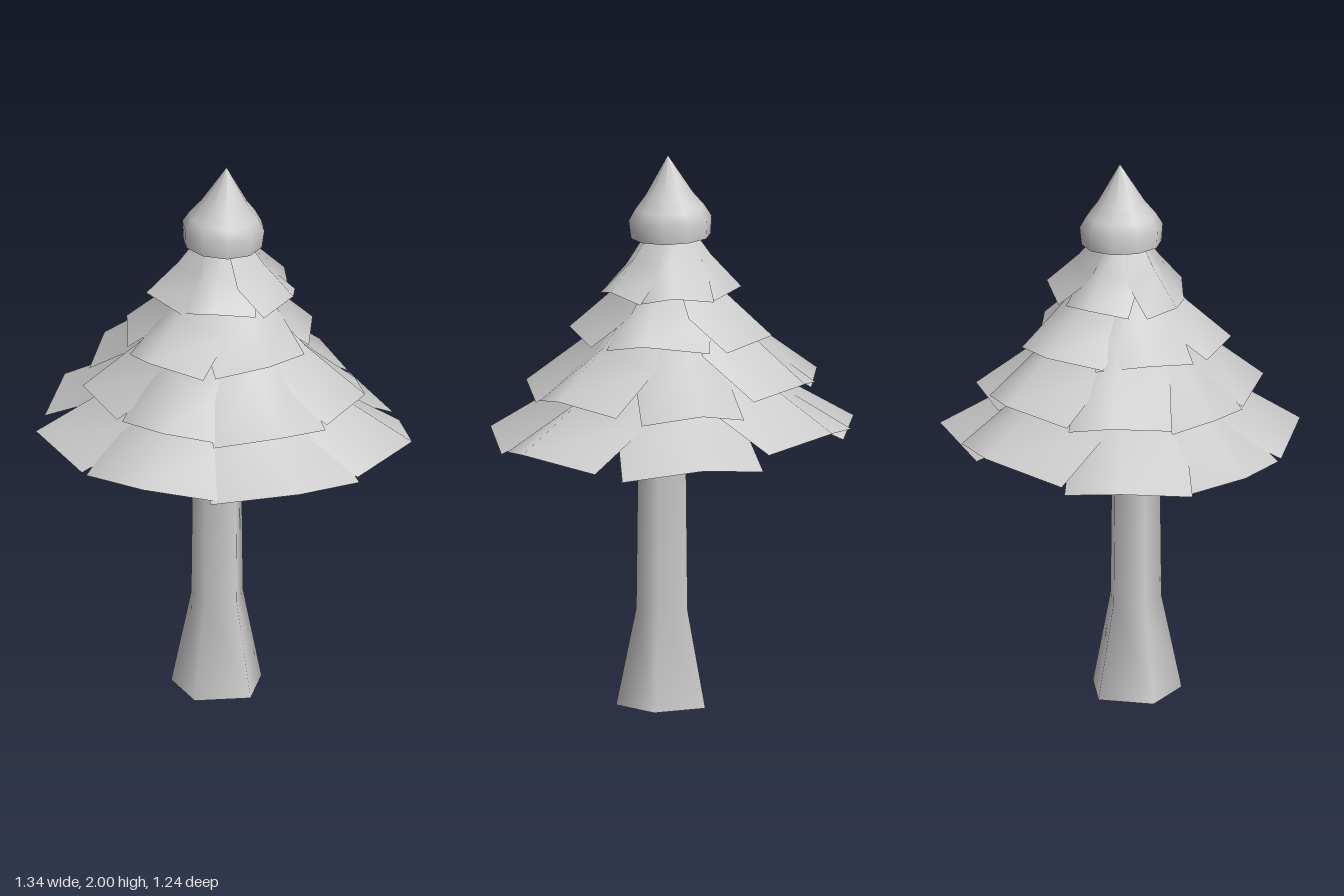
import * as THREE from 'three';

const material = new THREE.MeshStandardMaterial({ color: 0xcccccc, side: THREE.DoubleSide });

// Each bough plate: outer corners (x, z) of side, middle, side, then its lift
const lowestRing = [
  [-0.49, -0.44, -0.23, -0.62, 0.05, -0.59, 0.05],
  [0.03, -0.54, 0.33, -0.55, 0.53, -0.34, -0.02],
  [0.57, -0.24, 0.67, 0.03, 0.52, 0.27, 0],
  [0.53, 0.29, 0.36, 0.53, 0.05, 0.58, -0.01],
  [0.07, 0.57, -0.19, 0.62, -0.43, 0.44, 0],
  [-0.45, 0.42, -0.66, 0.2, -0.62, 0.0, 0],
  [-0.67, -0.01, -0.65, -0.28, -0.47, -0.42, 0.01],
];
const lowerRing = [
  [-0.38, -0.37, -0.19, -0.52, 0.03, -0.49, 0.05],
  [0.04, -0.45, 0.24, -0.45, 0.38, -0.28, -0.02],
  [0.42, -0.19, 0.5, 0.03, 0.4, 0.23, 0],
  [0.4, 0.25, 0.27, 0.44, 0.04, 0.48, -0.01],
  [0.06, 0.46, -0.14, 0.5, -0.32, 0.34, 0],
  [-0.34, 0.33, -0.5, 0.15, -0.47, 0.0, 0],
  [-0.51, -0.02, -0.5, -0.25, -0.37, -0.36, 0.03],
];
const upperRing = [
  [-0.29, -0.19, -0.18, -0.36, 0.04, -0.36, 0.01],
  [0.06, -0.29, 0.27, -0.17, 0.29, 0.0, 0],
  [0.29, 0.08, 0.2, 0.29, 0.02, 0.35, 0],
  [-0.02, 0.37, -0.22, 0.34, -0.32, 0.2, 0],
  [-0.34, 0.14, -0.38, -0.05, -0.27, -0.21, 0],
];
const topRing = [
  [-0.24, -0.07, -0.18, -0.2, -0.03, -0.22, 0],
  [-0.01, -0.24, 0.16, -0.21, 0.2, -0.09, 0],
  [0.22, -0.1, 0.24, 0.03, 0.16, 0.17, 0],
  [0.13, 0.17, -0.01, 0.24, -0.14, 0.19, 0],
  [-0.13, 0.2, -0.28, 0.1, -0.27, -0.01, 0],
];

const tiers = [
  { name: 'lowestBoughs', ring: lowestRing, low: 1.0, high: 1.4, drop: 0.045 },
  { name: 'lowerBoughs', ring: lowerRing, low: 1.17, high: 1.57, drop: 0.04 },
  { name: 'upperBoughs', ring: upperRing, low: 1.365, high: 1.68, drop: 0.035 },
  { name: 'topBoughs', ring: topRing, low: 1.53, high: 1.8, drop: 0.03 },
];

// Plate rows from rim to root: reach from the axis, width, rise, side droop
const rows = [[1, 1, 0, 1], [0.58, 0.88, 0.42, 1.7], [0.14, 0.3, 1, 1]];

function boughPlate([ax, az, mx, mz, bx, bz, lift], { low, high, drop }) {
  const cx = -0.02, cz = 0.01;
  const offsets = [[ax - mx, az - mz], [0, 0], [bx - mx, bz - mz]];
  const positions = [], index = [];
  rows.forEach(([reach, width, rise, droop], r) => {
    offsets.forEach(([dx, dz], i) => {
      positions.push(
        cx + (mx - cx) * reach + dx * width,
        low + lift + (high - low) * rise - (i === 1 ? 0 : drop * droop),
        cz + (mz - cz) * reach + dz * width);
      if (r < 2 && i < 2) {
        const a = r * 3 + i;
        index.push(a, a + 3, a + 1, a + 1, a + 3, a + 4);
      }
    });
  });
  const geometry = new THREE.BufferGeometry();
  geometry.setAttribute('position', new THREE.Float32BufferAttribute(positions, 3));
  geometry.setIndex(index);
  geometry.computeVertexNormals();
  return geometry;
}

function turned(name, profile, sides, x, y, z) {
  const points = profile.map(([r, h]) => new THREE.Vector2(r, h));
  // One corner of the outline points to -x
  const mesh = new THREE.Mesh(new THREE.LatheGeometry(points, sides, -Math.PI / 2), material);
  mesh.name = name;
  mesh.position.set(x, y, z);
  return mesh;
}

export function createModel() {
  const tree = new THREE.Group();
  tree.name = 'tree';

  // Five-sided open trunk with a flared foot
  tree.add(turned('trunk', [[0.17, 0], [0.098, 0.35], [0.09, 1.04]], 5, -0.03, 0, 0.046));

  // Four tiers of overlapping plates
  for (const tier of tiers) {
    const group = new THREE.Group();
    group.name = tier.name;
    for (const corners of tier.ring) {
      const plate = new THREE.Mesh(boughPlate(corners, tier), material);
      plate.name = 'bough';
      group.add(plate);
    }
    tree.add(group);
  }

  // Pointed crown, open below and leaning slightly
  const crown = turned('crown',
    [[0.143, 0], [0.149, 0.065], [0.125, 0.105], [0.085, 0.155], [0, 0.295]], 10, -0.023, 1.705, 0);
  crown.rotation.z = -0.05;
  tree.add(crown);

  return tree;
}
